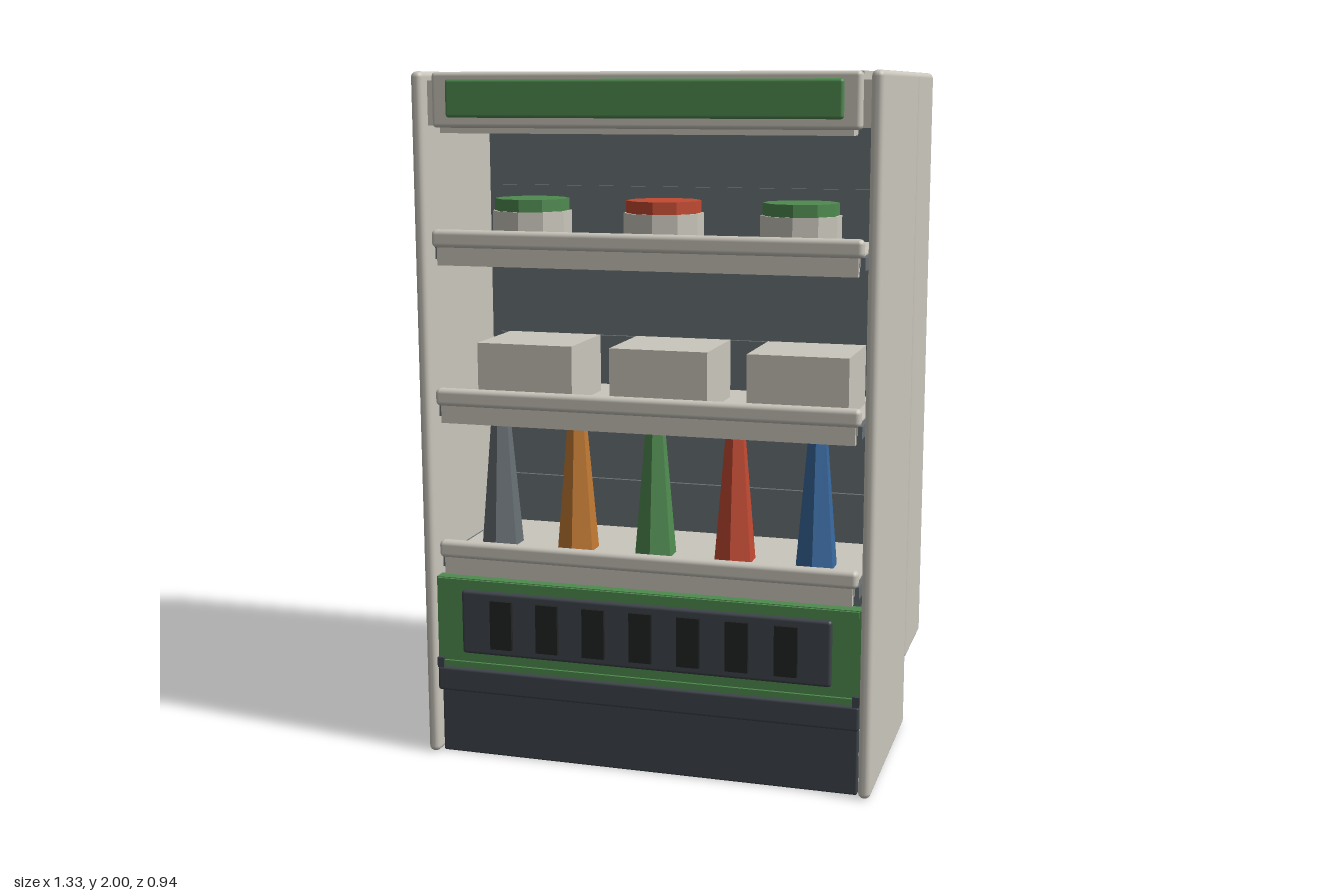
import * as THREE from 'three';
import { RoundedBoxGeometry } from 'three/addons/geometries/RoundedBoxGeometry.js';

function material(name, color, flatShading = false) {
  const m = new THREE.MeshStandardMaterial({ color, flatShading });
  m.name = name;
  return m;
}

export function createModel() {
  const group = new THREE.Group();
  const cream = material('cream', 0xcac6bc);
  const slate = material('slate', 0x687074);
  const dark = material('dark slate', 0x3e444a);
  const black = material('black', 0x222323);
  const green = material('green', 0x4f8b50);
  const orange = material('orange', 0xc27a33);
  const red = material('red', 0xc24a32);
  const blue = material('blue', 0x38699f);

  const add = (name, geometry, mat, x = 0, y = 0, z = 0) => {
    const mesh = new THREE.Mesh(geometry, mat);
    mesh.name = name;
    mesh.position.set(x, y, z);
    group.add(mesh);
    return mesh;
  };
  // Box given by its limits, with an optional rounded edge
  const box = (name, mat, x0, x1, y0, y1, z0, z1, r = 0) => {
    const w = x1 - x0, h = y1 - y0, d = z1 - z0;
    const g = r ? new RoundedBoxGeometry(w, h, d, 2, r) : new THREE.BoxGeometry(w, h, d);
    return add(name, g, mat, (x0 + x1) / 2, (y0 + y1) / 2, (z0 + z1) / 2);
  };
  // Faceted upright prism with hard edges
  const prism = (name, mat, rTop, rBottom, y0, y1, sides, x, z) => {
    const g = new THREE.CylinderGeometry(rTop, rBottom, y1 - y0, sides).toNonIndexed();
    g.computeVertexNormals();
    return add(name, g, mat, x, (y0 + y1) / 2, z);
  };
  const rod = (name, mat, r, points, segments = 24) => add(name, new THREE.TubeGeometry(
    new THREE.CatmullRomCurve3(points.map(p => new THREE.Vector3(...p)), false, 'centripetal'),
    segments, r, 12), mat);

  // Side panels: long one in front, shorter one behind
  for (const s of [-1, 1]) {
    const a = Math.min(s * 0.63, s * 0.665), b = Math.max(s * 0.63, s * 0.665);
    box('frontSidePanel', cream, a, b, 0.005, 2, -0.163, 0.46, 0.016);
    box('rearSidePanel', cream, a, b, 0.21, 2, -0.47, -0.167, 0.016);
    box('roofFlank', cream, s > 0 ? 0.6 : -0.63, s > 0 ? 0.63 : -0.6, 1.85, 1.975, -0.44, 0.42);
    box('frontCornerPost', dark, s > 0 ? 0.61 : -0.63, s > 0 ? 0.63 : -0.61, 0.27, 0.3, 0.42, 0.455);
  }

  // Roof and header with sign plate
  box('roof', cream, -0.605, 0.605, 1.85, 1.998, -0.445, 0.42);
  box('header', cream, -0.605, 0.605, 1.845, 1.998, 0.4, 0.452, 0.012);
  box('headerLip', cream, -0.585, 0.585, 1.83, 1.85, 0.38, 0.44);
  box('signPlate', green, -0.56, 0.56, 1.873, 1.978, 0.44, 0.463, 0.009);
  box('rearHeader', cream, -0.605, 0.605, 1.86, 1.985, -0.462, -0.44, 0.008);
  box('rearHeaderRim', cream, -0.605, 0.605, 1.98, 1.998, -0.468, -0.42);

  // Back panel, inner wall and underside
  box('backPanel', slate, -0.63, 0.63, 0.25, 1.85, -0.468, -0.43);
  box('backSill', dark, -0.63, 0.63, 0.2, 0.25, -0.464, -0.43);
  box('innerWall', slate, -0.63, 0.63, 0.22, 1.85, -0.06, -0.03);
  box('underside', black, -0.63, 0.63, 0.2, 0.225, -0.455, 0.42);

  // Kick plate, bumper and grille
  box('kickPlate', dark, -0.625, 0.625, 0.005, 0.2, 0.41, 0.435, 0.006);
  box('bumper', dark, -0.63, 0.63, 0.2, 0.272, 0.39, 0.455, 0.008);
  box('lowerFascia', green, -0.63, 0.63, 0.272, 0.545, 0.4, 0.443);
  for (const y of [0.275, 0.525])
    box('fasciaRail', green, -0.625, 0.625, y, y + 0.018, 0.44, 0.451);
  box('grillePanel', dark, -0.55, 0.55, 0.32, 0.512, 0.43, 0.455, 0.01);
  for (let i = 0; i < 7; i++) {
    const x = -0.423 + i * 0.141;
    box('vent', black, x - 0.033, x + 0.033, 0.345, 0.49, 0.45, 0.468);
  }

  // Shelves with a rounded front rail, price strip and rear riser
  for (const y of [0.61, 1.06, 1.515]) {
    box('shelf', cream, -0.605, 0.605, y - 0.03, y, -0.03, 0.43);
    box('shelfRail', cream, -0.618, 0.618, y - 0.005, y + 0.046, 0.415, 0.452, 0.014);
    box('priceStrip', cream, -0.603, 0.603, y - 0.055, y + 0.005, 0.42, 0.442);
    box('shelfRiser', slate, -0.603, 0.603, y, y + 0.15, -0.03, -0.018);
    for (const s of [-1, 1])
      box('shelfBracket', slate, s * 0.61 - 0.008, s * 0.61 + 0.008, y - 0.04, y - 0.005, -0.03, 0.42);
  }

  // Jars, cartons and bottles
  [green, red, green].forEach((mat, i) => {
    const x = -0.402 + i * 0.4;
    prism('jar', cream, 0.115, 0.115, 1.515, 1.605, 10, x, 0.21);
    prism('jarLid', mat, 0.108, 0.108, 1.605, 1.64, 10, x, 0.21);
  });
  for (let i = 0; i < 3; i++) {
    const x = -0.377 + i * 0.401;
    box('carton', cream, x - 0.144, x + 0.144, 1.06, 1.23, 0.1, 0.36);
  }
  [slate, orange, green, red, blue].forEach((mat, i) =>
    prism('bottle', mat, 0.03, 0.062, 0.61, 0.977, 6, -0.497 + i * 0.24, 0.25));

  // Drain trap with collars
  const px = -0.52;
  rod('drainTrap', cream, 0.032, [[px, 0.21, -0.195], [px, 0.1, -0.195], [px, 0.055, -0.21],
    [px, 0.04, -0.24], [px, 0.055, -0.275], [px, 0.1, -0.3], [px, 0.12, -0.34], [px, 0.12, -0.46]], 40);
  add('trapCollar', new THREE.CylinderGeometry(0.038, 0.038, 0.03, 16), slate, px, 0.165, -0.195);
  add('drainOutlet', new THREE.TorusGeometry(0.032, 0.012, 8, 20), slate, px, 0.12, -0.45);
  const bore = add('drainBore', new THREE.CircleGeometry(0.03, 16), black, px, 0.12, -0.462);
  bore.rotation.y = Math.PI;

  // Pump body with riser
  const pump = add('pump', new THREE.CylinderGeometry(0.045, 0.045, 0.5, 12), black, 0.34, 0.095, -0.385);
  pump.rotation.z = Math.PI / 2;
  add('pumpRiser', new THREE.CylinderGeometry(0.04, 0.04, 0.12, 12), black, 0.13, 0.15, -0.385);
  for (const x of [0.08, 0.6]) {
    const cap = add('pumpPort', new THREE.CylinderGeometry(0.022, 0.022, 0.03, 10), orange, x, 0.095, -0.385);
    cap.rotation.z = Math.PI / 2;
  }

  // Copper lines beside the pump
  rod('copperLine', orange, 0.013, [[0.1, 0.09, -0.287], [0.62, 0.09, -0.287]], 1);
  rod('upperCopperLine', orange, 0.013, [[0.1, 0.16, -0.287], [0.62, 0.16, -0.287]], 1);
  for (const x of [0.1, 0.6])
    rod('copperRiser', orange, 0.013, [[x, 0.085, -0.287], [x, 0.21, -0.287]], 1);

  // Hanging plate at the back
  box('hangingPlate', dark, -0.3, -0.1, 0.005, 0.21, -0.468, -0.45, 0.006);

  return group;
}
